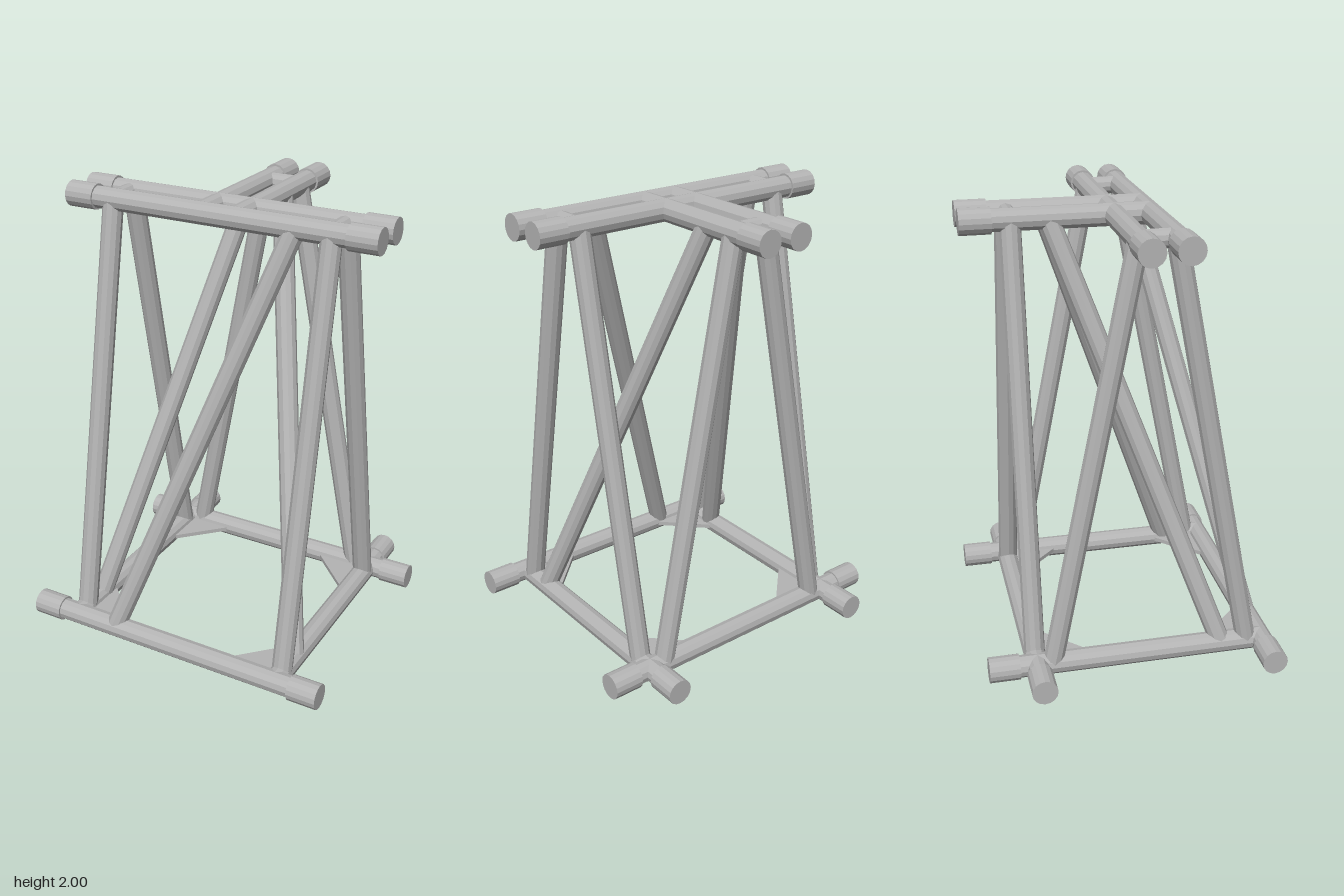
import * as THREE from 'three';

const LOW = 0.057, HIGH = 1.943;   // centre heights of the bottom and top beams
const BEAM = 0.049, CAP = 0.057, STRUT = 0.046;
const SIDE = 0.515, BACK = -0.44, FRONT = 0.59;
const END_X = 0.73, END_Z = -0.655, CAP_LEN = 0.135;

export function createModel() {
  const model = new THREE.Group();
  model.name = 'trussTower';
  const steel = new THREE.MeshStandardMaterial({ color: 0xb4b4b4, flatShading: true });
  steel.name = 'grey steel';

  const up = new THREE.Vector3(0, 1, 0);

  // Round bar running between two points
  function bar(name, a, b, radius, sides = 12) {
    const start = new THREE.Vector3(...a), end = new THREE.Vector3(...b);
    const dir = end.clone().sub(start);
    const mesh = new THREE.Mesh(new THREE.CylinderGeometry(radius, radius, dir.length(), sides), steel);
    mesh.position.copy(start).add(end).multiplyScalar(0.5);
    mesh.quaternion.setFromUnitVectors(up, dir.normalize());
    mesh.name = name;
    model.add(mesh);
  }

  // Crosswise beams with a sleeve on each end
  for (const [level, y, z] of [['bottomFront', LOW, FRONT], ['bottomBack', LOW, BACK],
    ['topFront', HIGH, 0.155], ['topRear', HIGH, 0]]) {
    bar(level + 'Beam', [-END_X + 0.01, y, z], [END_X - 0.01, y, z], BEAM);
    for (const s of [-1, 1]) {
      bar(level + 'Sleeve', [s * (END_X - CAP_LEN), y, z], [s * END_X, y, z], CAP, 16);
    }
  }

  for (const s of [-1, 1]) {
    // Lengthwise beams with a sleeve on the back end
    for (const [level, x, y, z] of [['bottomSide', SIDE, LOW, FRONT], ['topArm', 0.08, HIGH, 0.155]]) {
      bar(level + 'Beam', [s * x, y, z], [s * x, y, END_Z + 0.01], BEAM);
      bar(level + 'Sleeve', [s * x, y, END_Z + CAP_LEN], [s * x, y, END_Z], CAP, 16);
    }

    // Legs
    bar('frontLeg', [s * SIDE, LOW, 0.52], [s * SIDE, HIGH, 0.155], STRUT);
    bar('sideLeg', [s * SIDE, LOW, -0.37], [s * SIDE, HIGH, 0], STRUT);
    bar('backLeg', [s * 0.44, LOW, BACK], [s * 0.08, HIGH, BACK], STRUT);

    // Long inner brace from the side beam to the top arm
    bar('innerBrace', [s * SIDE, LOW, 0.4], [s * 0.08, HIGH, -0.28], STRUT);

    // Spacer between the two top beams
    bar('beamSpacer', [s * SIDE, HIGH, 0], [s * SIDE, HIGH, 0.155], 0.04);

    // Triangular corner plates
    for (const [z, dir] of [[BACK, 1], [FRONT, -1]]) {
      const size = 0.29;
      const shape = new THREE.Shape([
        new THREE.Vector2(s * SIDE, -z),
        new THREE.Vector2(s * (SIDE - size), -z),
        new THREE.Vector2(s * SIDE, -(z + dir * size)),
      ]);
      const plate = new THREE.Mesh(
        new THREE.ExtrudeGeometry(shape, { depth: 0.02, bevelEnabled: false }), steel);
      plate.rotation.x = -Math.PI / 2;
      plate.position.y = LOW - 0.01;
      plate.name = 'cornerPlate';
      model.add(plate);
    }
  }

  // Spacer between the two top arms, and the single front diagonal
  bar('armSpacer', [-0.08, HIGH, BACK], [0.08, HIGH, BACK], 0.04);
  bar('frontDiagonal', [-0.31, LOW, FRONT], [0.355, HIGH, 0.155], STRUT);

  return model;
}
